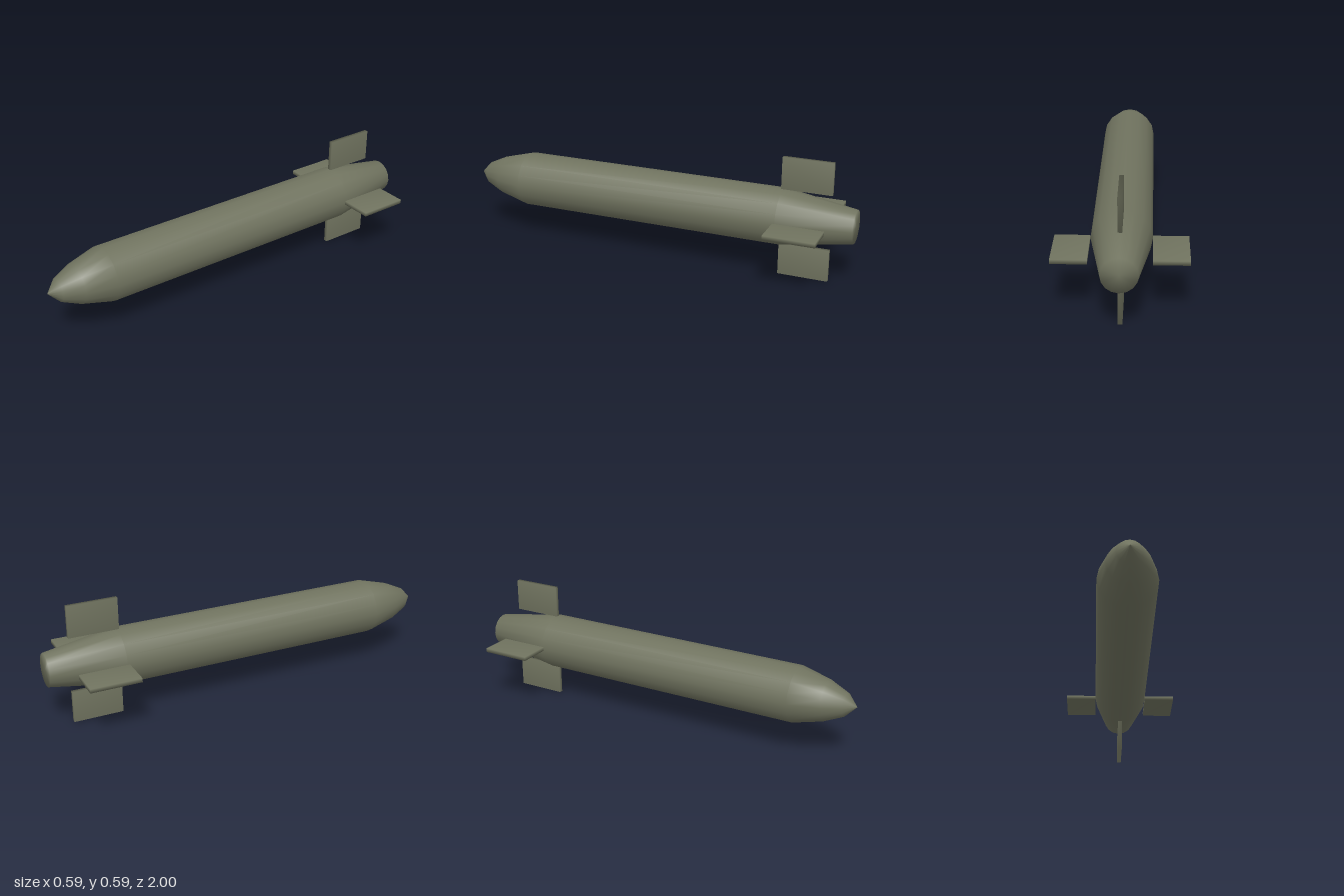
import * as THREE from 'three';
import { mergeVertices } from 'three/addons/utils/BufferGeometryUtils.js';

const AXIS_Y = 0.294;

export function createModel() {
  const model = new THREE.Group();
  model.name = 'finnedProjectile';
  const material = new THREE.MeshStandardMaterial({ color: 0x70735f });

  // Body: 16-sided smooth lathe from the closed tail to the pointed nose
  const profile = [
    [0, -1], [0.08, -1], [0.136, -0.65], [0.136, 0.71],
    [0.098, 0.855], [0.056, 0.947], [0, 1],
  ].map(([r, z]) => new THREE.Vector2(r, z));
  const body = new THREE.Mesh(new THREE.LatheGeometry(profile, 16).rotateX(Math.PI / 2), material);
  body.name = 'body';
  body.position.y = AXIS_Y;
  model.add(body);

  // Fin: thin plate with shared, softened corner normals
  let finGeometry = new THREE.BoxGeometry(0.157, 0.02, 0.244);
  finGeometry.deleteAttribute('normal');
  finGeometry.deleteAttribute('uv');
  finGeometry = mergeVertices(finGeometry);
  finGeometry.translate(0.2155, 0, -0.762);
  finGeometry.computeVertexNormals();

  // Four fins in a cross around the tail
  ['leftFin', 'topFin', 'rightFin', 'bottomFin'].forEach((name, i) => {
    const fin = new THREE.Mesh(finGeometry, material);
    fin.name = name;
    fin.position.y = AXIS_Y;
    fin.rotation.z = (i * Math.PI) / 2;
    model.add(fin);
  });

  return model;
}
